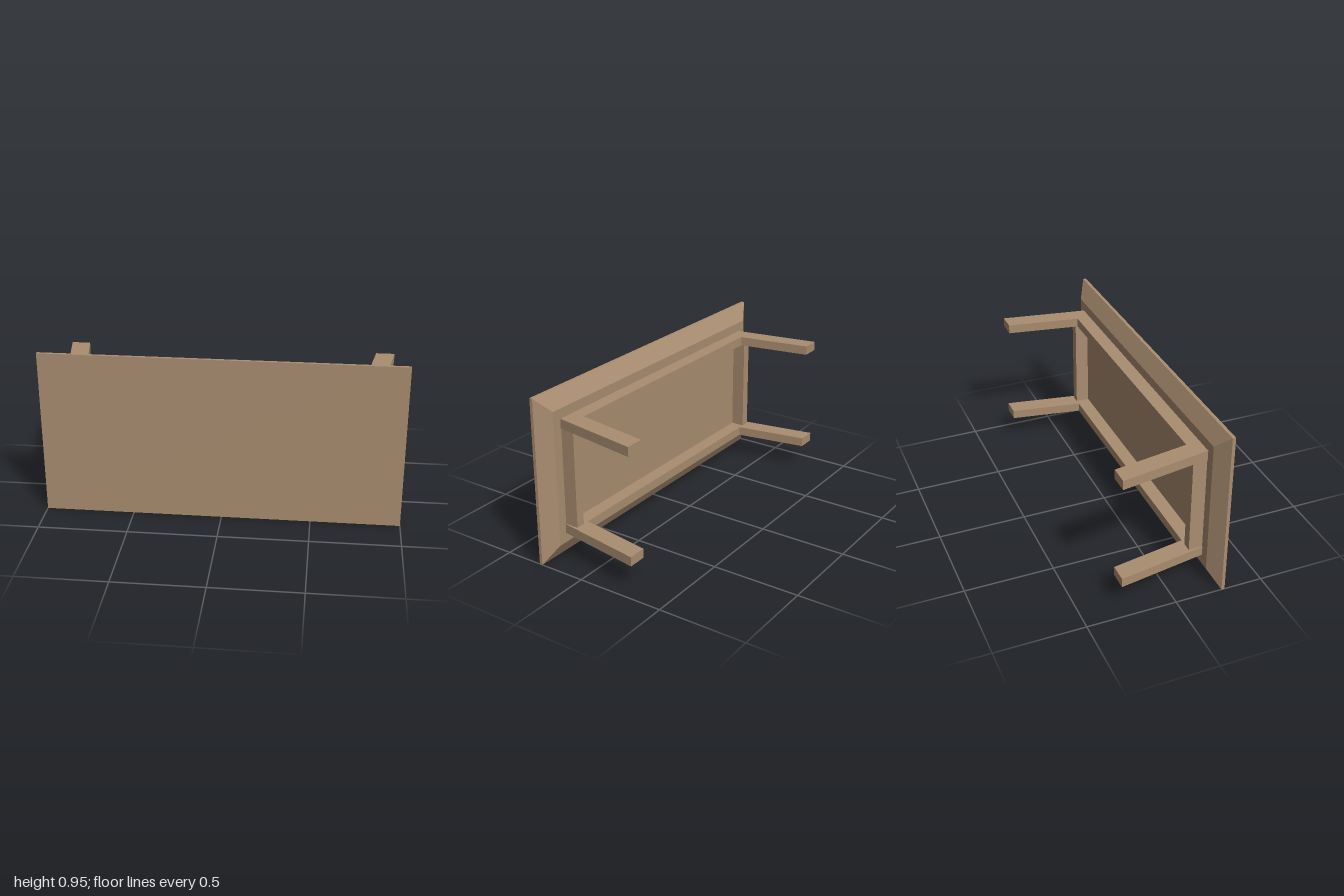
import * as THREE from 'three';

// Box between two corners, with an optional rule that moves its vertices.
function block(name, material, min, max, rule) {
  const size = max.map((v, i) => v - min[i]);
  const geometry = new THREE.BoxGeometry(...size);
  geometry.translate(...min.map((v, i) => v + size[i] / 2));
  if (rule) {
    const pos = geometry.attributes.position;
    const p = new THREE.Vector3();
    for (let i = 0; i < pos.count; i++) {
      rule(p.fromBufferAttribute(pos, i));
      pos.setXYZ(i, p.x, p.y, p.z);
    }
    geometry.computeVertexNormals();
  }
  const mesh = new THREE.Mesh(geometry, material);
  mesh.name = name;
  return mesh;
}

export function createModel() {
  const wood = new THREE.MeshStandardMaterial({ color: 0xa98d70 });
  const table = new THREE.Group();
  table.name = 'table';

  const height = 0.95, mid = height / 2;
  const front = 0.283, edge = 0.265, under = 0.213; // tabletop layers along z
  const railBack = 0.135, legEnd = -0.283;
  const railIn = 0.277, railOut = 0.33; // distances from mid height

  // Tabletop: thin slab with a chamfered underside
  table.add(block('tabletop', wood, [-1, 0, edge], [1, height, front]));
  table.add(block('tabletopBevel', wood, [-1, 0, under], [1, height, edge], (p) => {
    if (p.z < (under + edge) / 2) {
      p.x -= Math.sign(p.x) * 0.09;
      p.y -= Math.sign(p.y - mid) * 0.09;
    }
  }));

  for (const sy of [-1, 1]) {
    const y0 = mid + (sy < 0 ? -railOut : railIn);
    const y1 = y0 + railOut - railIn;

    // Long rail, its ends following the slope of the legs
    table.add(block('longRail', wood, [-0.754, y0, railBack], [0.754, y1, under], (p) => {
      if (p.z < (railBack + under) / 2) p.x += Math.sign(p.x) * 0.013;
    }));

    // Legs splayed outwards towards their feet
    for (const sx of [-1, 1]) {
      const x = sx * 0.805;
      table.add(block(sx > 0 ? 'leftLeg' : 'rightLeg', wood,
        [x - 0.0525, y0, legEnd], [x + 0.0525, y1, under], (p) => {
          if (p.z < 0) p.x += sx * 0.083;
        }));
    }
  }

  // Short rails between the legs at each end
  for (const sx of [-1, 1]) {
    const x = sx * 0.827;
    table.add(block('endRail', wood,
      [x - 0.0265, mid - railIn, railBack], [x + 0.0265, mid + railIn, under]));
  }
  return table;
}
